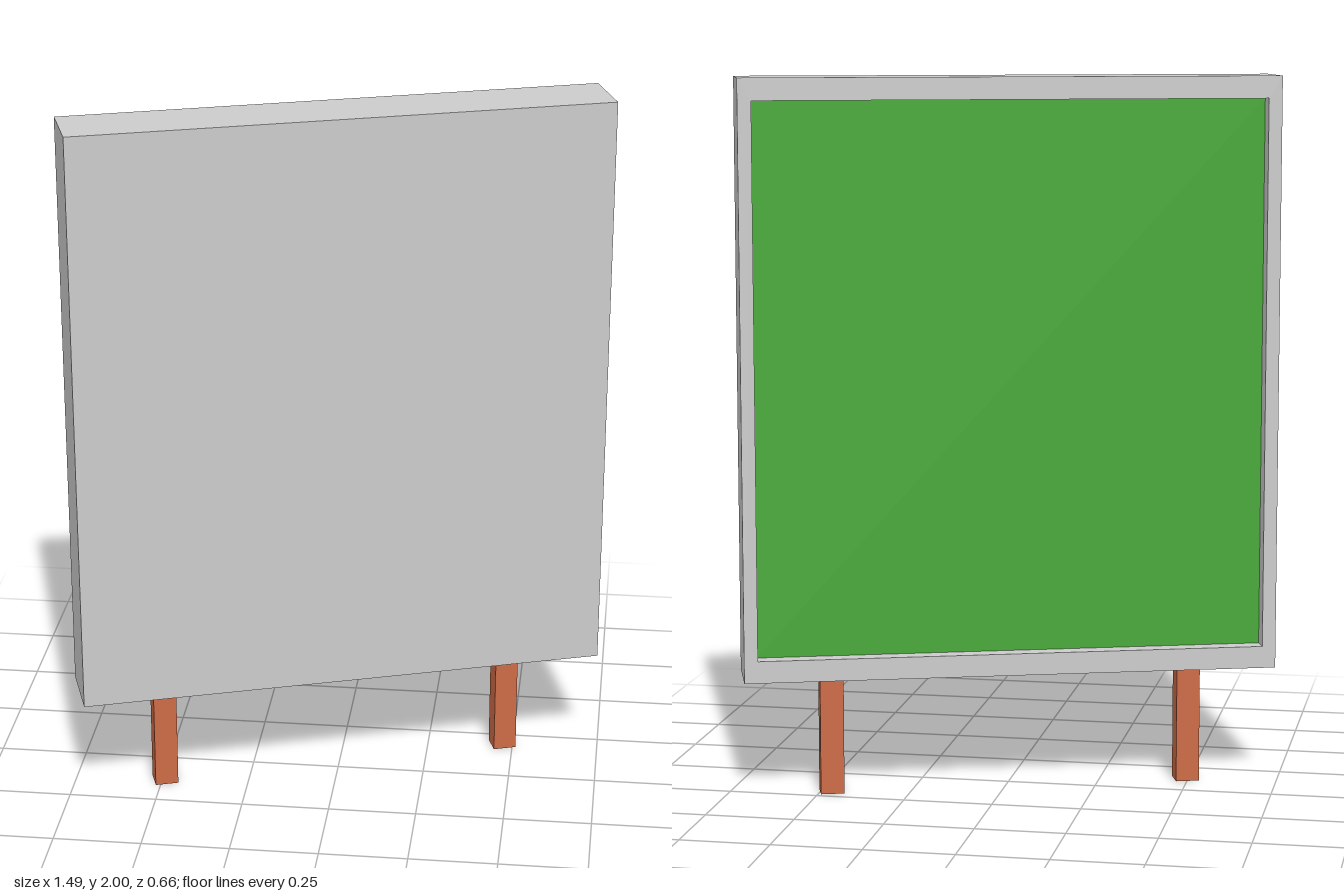
import * as THREE from 'three';

const W = 1.504, H = 1.67, D = 0.188;   // cabinet size
const BASE = 0.33;                      // height of the cabinet's underside
const RECESS = 0.05;                    // depth of the framed recess
const SIDE = 0.038, RAIL = 0.062;       // frame widths: uprights, rails

function rect(PathType, w, h) {
  return new PathType([
    new THREE.Vector2(-w / 2, -h / 2), new THREE.Vector2(w / 2, -h / 2),
    new THREE.Vector2(w / 2, h / 2), new THREE.Vector2(-w / 2, h / 2),
  ]);
}

export function createModel() {
  const model = new THREE.Group();
  model.name = 'signBoard';
  const board = new THREE.Group();
  board.name = 'turnedBoard';
  board.rotation.y = Math.atan2(0.48, 1.425);
  model.add(board);

  const grey = new THREE.MeshStandardMaterial({ color: 0xcccccc, flatShading: true });
  const green = new THREE.MeshStandardMaterial({ color: 0x45a834, flatShading: true });
  const rust = new THREE.MeshStandardMaterial({ color: 0xcc6b45, flatShading: true, side: THREE.DoubleSide });

  const add = (name, geometry, material, x, y, z) => {
    const mesh = new THREE.Mesh(geometry, material);
    mesh.name = name;
    mesh.position.set(x, y, z);
    board.add(mesh);
    return mesh;
  };
  const midY = BASE + H / 2;

  // Solid cabinet with a plain front
  add('cabinet', new THREE.BoxGeometry(W, H, D - RECESS), grey, 0, midY, RECESS / 2);

  // Raised frame around the back
  const outline = rect(THREE.Shape, W, H);
  outline.holes.push(rect(THREE.Path, W - 2 * SIDE, H - 2 * RAIL));
  add('frame', new THREE.ExtrudeGeometry(outline, { depth: RECESS, bevelEnabled: false }),
    grey, 0, midY, -D / 2);

  // Coloured panel at the bottom of the recess, facing back
  const panel = add('panel', new THREE.PlaneGeometry(W - 2 * SIDE, H - 2 * RAIL),
    green, 0, midY, -D / 2 + RECESS - 0.002);
  panel.rotation.y = Math.PI;

  // Two hollow square posts, open at the ends
  const post = new THREE.CylinderGeometry(Math.SQRT1_2, Math.SQRT1_2, 1, 4, 1, true);
  post.rotateY(Math.PI / 4);
  post.scale(0.066, BASE, 0.06);
  for (const [name, side] of [['leftLeg', 1], ['rightLeg', -1]]) {
    add(name, post, rust, side * 0.507, BASE / 2, -0.035);
  }
  return model;
}
